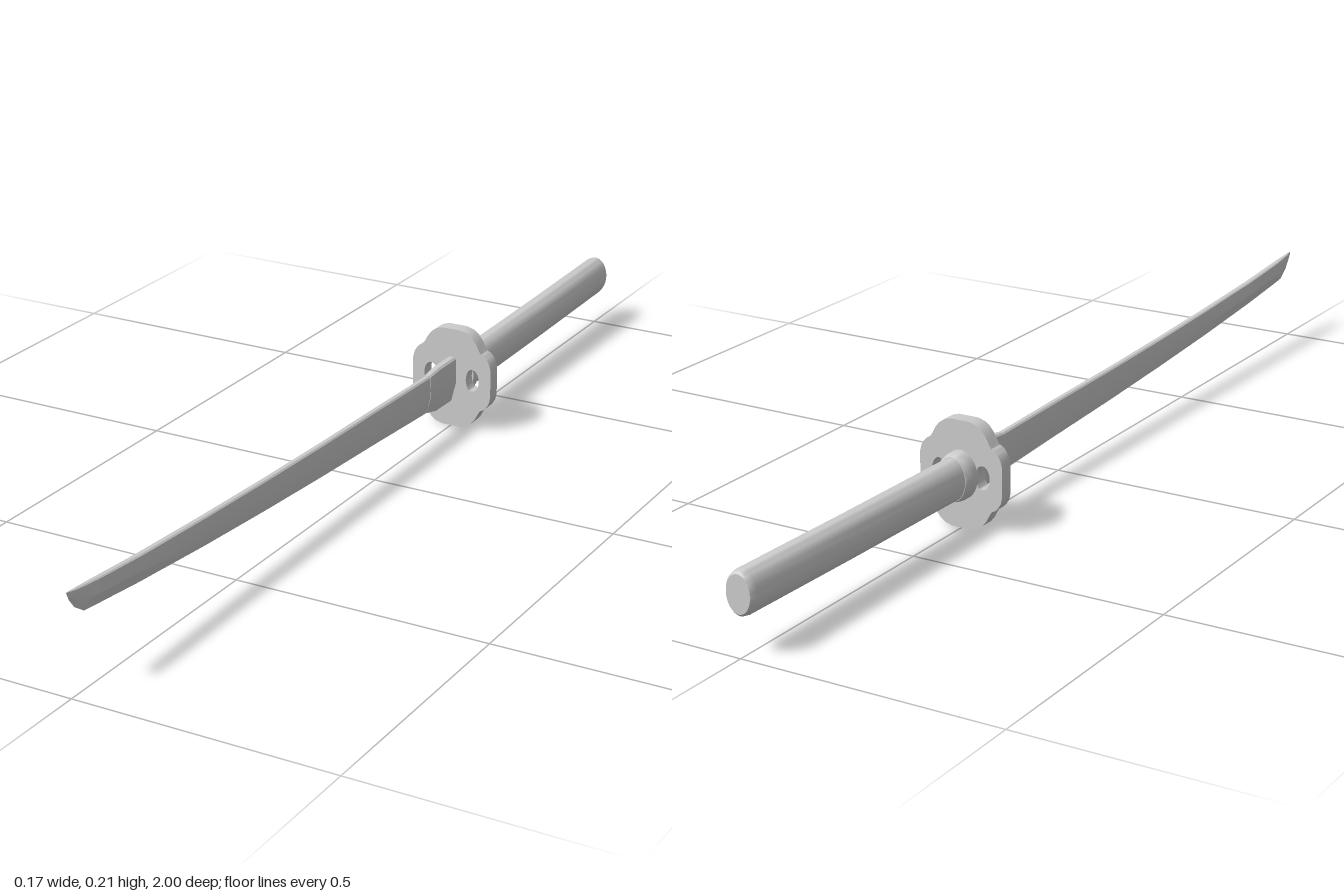
import * as THREE from 'three';
import { toCreasedNormals } from 'three/addons/utils/BufferGeometryUtils.js';

const material = new THREE.MeshStandardMaterial({ color: 0xcccccc });

// Skin closed loops of [x, y, z] points (counter-clockwise from +z, ordered by rising z), capped at both ends
function loft(name, loops, crease = 0.6) {
  const n = loops[0].length;
  const index = [];
  for (let r = 0; r < loops.length - 1; r++) {
    for (let i = 0; i < n; i++) {
      const a = r * n + i, b = r * n + (i + 1) % n;
      index.push(a, b, b + n, a, b + n, a + n);
    }
  }
  const last = (loops.length - 1) * n;
  for (let i = 1; i < n - 1; i++) {
    index.push(0, i + 1, i, last, last + i, last + i + 1);
  }
  const geometry = new THREE.BufferGeometry();
  geometry.setAttribute('position', new THREE.Float32BufferAttribute(loops.flat(2), 3));
  geometry.setIndex(index);
  return named(name, toCreasedNormals(geometry, crease));
}

function named(name, geometry) {
  const mesh = new THREE.Mesh(geometry, material);
  mesh.name = name;
  return mesh;
}

// Wedge section: flat spine, widest at mid height, sharp lower edge
function bladeSection([z, bottom, top, w]) {
  const h = top - bottom;
  return [
    [0, bottom, z], [w, bottom + h * 0.45, z], [w * 0.85, top - h * 0.04, z], [w * 0.5, top, z],
    [-w * 0.5, top, z], [-w * 0.85, top - h * 0.04, z], [-w, bottom + h * 0.45, z],
  ];
}

// Oval section of the grip parts
function ovalSection([z, y, rx, ry]) {
  return Array.from({ length: 32 }, (_, i) => {
    const a = (i / 32) * Math.PI * 2;
    return [Math.cos(a) * rx, y + Math.sin(a) * ry, z];
  });
}

// Lobed plate with two side openings
function guardGeometry() {
  const cy = 0.103;
  const shape = new THREE.Shape();
  shape.moveTo(0.087, cy);
  // One quarter outline, mirrored into the other three
  const quarter = [
    [0.087, 0.028], [0.084, 0.041], [0.078, 0.051], [0.072, 0.057], [0.065, 0.060],
    [0.060, 0.068], [0.053, 0.081], [0.045, 0.091], [0.034, 0.099], [0.020, 0.103],
  ];
  const reversed = [...quarter].reverse();
  for (const [x, y] of quarter) shape.lineTo(x, cy + y);
  for (const [x, y] of reversed) shape.lineTo(-x, cy + y);
  for (const [x, y] of quarter) shape.lineTo(-x, cy - y);
  for (const [x, y] of reversed) shape.lineTo(x, cy - y);
  shape.closePath();

  for (const s of [1, -1]) {
    const hole = new THREE.Path();
    hole.moveTo(s * 0.061, 0.104);
    hole.bezierCurveTo(s * 0.061, 0.117, s * 0.055, 0.127, s * 0.046, 0.127);
    hole.bezierCurveTo(s * 0.037, 0.127, s * 0.034, 0.120, s * 0.032, 0.104);
    hole.bezierCurveTo(s * 0.034, 0.092, s * 0.035, 0.081, s * 0.043, 0.081);
    hole.bezierCurveTo(s * 0.054, 0.081, s * 0.061, 0.090, s * 0.061, 0.104);
    shape.holes.push(hole);
  }
  const geometry = new THREE.ExtrudeGeometry(shape, { depth: 0.029, bevelEnabled: false, curveSegments: 8 });
  geometry.translate(0, 0, -0.343);
  return toCreasedNormals(geometry, 0.5);
}

export function createModel() {
  const model = new THREE.Group();
  model.name = 'sword';

  // Curved blade: z, lower edge, spine, half thickness
  model.add(loft('blade', [
    [-0.32, 0.062, 0.141, 0.008],
    [-0.2, 0.064, 0.141, 0.008],
    [0, 0.074, 0.146, 0.008],
    [0.2, 0.083, 0.150, 0.008],
    [0.4, 0.094, 0.156, 0.008],
    [0.6, 0.107, 0.164, 0.008],
    [0.8, 0.123, 0.174, 0.008],
    [0.92, 0.135, 0.183, 0.0075],
    [0.955, 0.139, 0.186, 0.006],
    [0.98, 0.156, 0.188, 0.004],
    [0.993, 0.173, 0.1895, 0.002],
    [1, 0.188, 0.19, 0.0008],
  ].map(bladeSection), 0.35));

  // Sleeve clasping the blade root
  model.add(loft('bladeCollar', [
    [-0.32, 0.053, 0.147, 0.011],
    [-0.25, 0.054, 0.147, 0.0105],
    [-0.21, 0.063, 0.142, 0.009],
  ].map(bladeSection), 0.3));

  model.add(named('guard', guardGeometry()));

  // Ring behind the guard: z, centre height, half width, half height
  model.add(loft('gripCollar', [
    [-0.374, 0.103, 0.03, 0.042],
    [-0.368, 0.103, 0.034, 0.045],
    [-0.355, 0.103, 0.036, 0.047],
    [-0.340, 0.103, 0.036, 0.047],
  ].map(ovalSection)));

  // Slightly raised grip with a chamfered end
  model.add(loft('grip', [
    [-1, 0.112, 0.024, 0.035],
    [-0.996, 0.112, 0.027, 0.039],
    [-0.986, 0.112, 0.029, 0.041],
    [-0.7, 0.107, 0.029, 0.041],
    [-0.36, 0.103, 0.029, 0.041],
  ].map(ovalSection)));

  return model;
}
